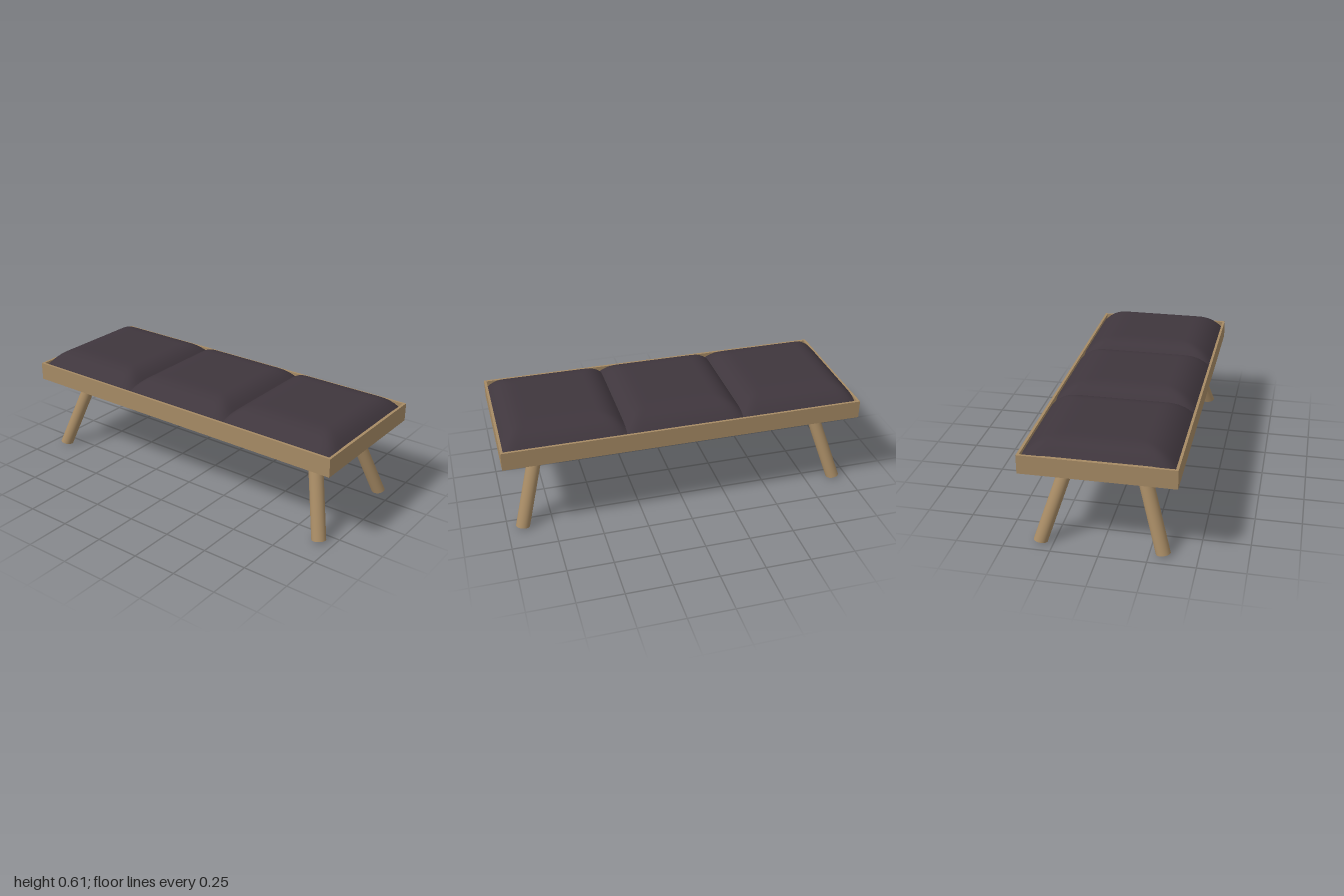
import * as THREE from 'three';

export function createModel() {
  const wood = new THREE.MeshStandardMaterial({ color: 0xa68a64 });
  wood.name = 'light wood';
  const fabric = new THREE.MeshStandardMaterial({ color: 0x3f363d });
  fabric.name = 'dark upholstery';

  const bench = new THREE.Group();
  bench.name = 'bench';
  const add = (name, geometry, material) => {
    const mesh = new THREE.Mesh(geometry, material);
    mesh.name = name;
    bench.add(mesh);
    return mesh;
  };

  // Shallow tray: thin rim around a recessed floor
  const rect = (path, x, z) =>
    path.moveTo(-x, -z).lineTo(x, -z).lineTo(x, z).lineTo(-x, z).closePath();
  const inX = 0.986, inZ = 0.386;
  const rim = rect(new THREE.Shape(), 1, 0.4);
  rim.holes.push(rect(new THREE.Path(), inX, inZ));
  const rimGeometry = new THREE.ExtrudeGeometry(rim, { depth: 0.102, bevelEnabled: false });
  rimGeometry.rotateX(-Math.PI / 2).translate(0, 0.44, 0);
  add('frameRim', rimGeometry, wood);
  add('frameFloor', new THREE.BoxGeometry(2 * inX, 0.05, 2 * inZ), wood).position.y = 0.465;

  // Three puffed cushions, falling away in a soft curve towards every edge
  const falloff = (distance, width) => Math.pow(Math.max(0, 1 - distance / width), 2.5);
  const seam = 0.325;
  [[-inX, -seam], [-seam, seam], [seam, inX]].forEach(([x0, x1], i) => {
    const geometry = new THREE.PlaneGeometry(x1 - x0, 2 * inZ, 40, 44);
    geometry.rotateX(-Math.PI / 2).translate((x0 + x1) / 2, 0, 0);
    const p = geometry.attributes.position;
    for (let v = 0; v < p.count; v++) {
      const x = p.getX(v);
      const dropX = 0.056 * falloff(Math.min(x - x0, x1 - x), 0.14);
      const outer = Math.abs(x) > 0.7 ? 1.12 : 1;
      const dropZ = 0.082 * falloff(inZ - Math.abs(p.getZ(v)), 0.19);
      p.setY(v, 0.607 - Math.hypot(dropX * outer, dropZ));
    }
    geometry.computeVertexNormals();
    add(['rightCushion', 'middleCushion', 'leftCushion'][i], geometry, fabric);
  });

  // Splayed round legs with slightly tilted feet
  const legHeight = 0.45, slopeX = 0.3, slopeZ = 0.316;
  for (const sx of [-1, 1]) for (const sz of [-1, 1]) {
    const geometry = new THREE.CylinderGeometry(0.039, 0.039, legHeight, 32);
    const p = geometry.attributes.position;
    for (let v = 0; v < p.count; v++) {
      const x = p.getX(v), z = p.getZ(v);
      const foot = p.getY(v) < 0;
      const y = foot ? 0.008 + 0.13 * (sx * x + sz * z) : legHeight;
      p.setXYZ(v, x + sx * (0.919 - slopeX * y), y, z + sz * (0.323 - slopeZ * y));
    }
    geometry.computeVertexNormals();
    add((sz > 0 ? 'front' : 'back') + (sx > 0 ? 'Left' : 'Right') + 'Leg', geometry, wood);
  }

  return bench;
}
